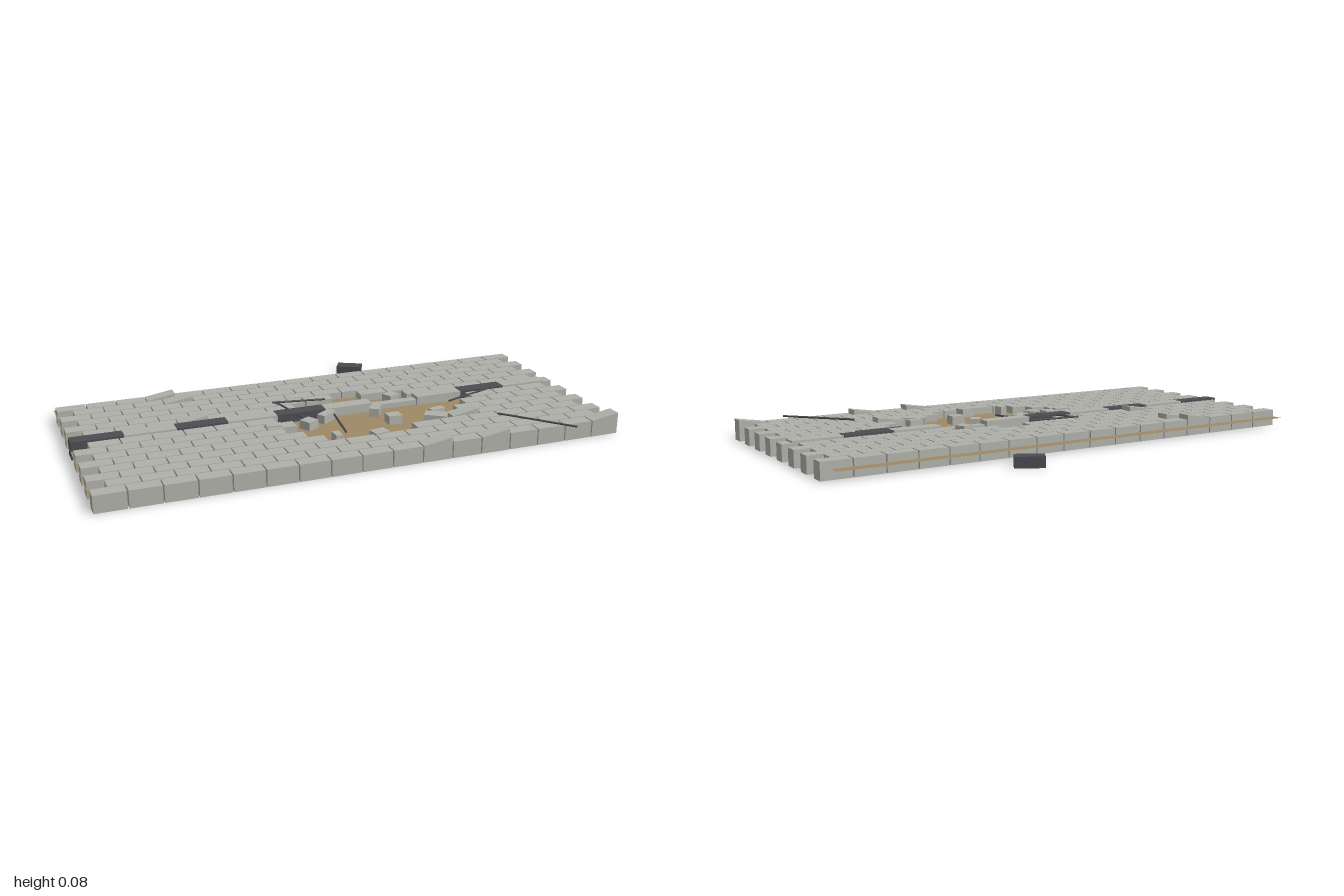
import * as THREE from 'three';

const stone = new THREE.MeshStandardMaterial({ color: 0xb0b0aa });
stone.name = 'pale stone';
const dark = new THREE.MeshStandardMaterial({ color: 0x4c4c51 });
dark.name = 'dark stone';
const dirt = new THREE.MeshStandardMaterial({ color: 0x9e8866, side: THREE.DoubleSide });
dirt.name = 'dirt';

const ROWS = 15, PITCH_X = 2 / 17, PITCH_Z = 0.0587, GAP = 0.005;
const BRICK_H = 0.064, DIRT_Y = 0.036;

// Missing bricks: row -> x range of the crater
const crater = {
  4: [0.05, 0.18], 5: [-0.12, 0.36], 6: [-0.18, 0.54], 7: [-0.24, 0.59],
  8: [-0.18, 0.54], 9: [-0.24, 0.48], 10: [-0.18, 0.42], 11: [-0.12, 0.24],
};

// Bricks heaved up at one end, as row:column
const heaved = new Set(['0:3', '1:3', '5:3', '10:12', '14:10', '14:12', '14:16']);

function box(name, material, w, h, d, x, y, z, turn = 0) {
  const mesh = new THREE.Mesh(new THREE.BoxGeometry(w, h, d), material);
  mesh.name = name;
  mesh.position.set(x, y, z);
  mesh.rotation.y = turn;
  return mesh;
}

// Running bond paving around the crater
function makePaving() {
  const paving = new THREE.Group();
  paving.name = 'paving';
  const length = PITCH_X - GAP, depth = PITCH_Z - GAP;
  for (let row = 0; row < ROWS; row++) {
    const odd = row % 2;
    const z = -0.327 + row * PITCH_Z;
    for (let col = 0; col < 17 - odd; col++) {
      const x = -1 + (col + 0.5 + odd / 2) * PITCH_X;
      const hole = crater[row];
      if (hole && x > hole[0] && x < hole[1]) continue;
      const brick = box('pavingBrick', stone, length, BRICK_H, depth, x, BRICK_H / 2, z);
      if (heaved.has(row + ':' + col)) {
        // raise the top right edge only
        const p = brick.geometry.attributes.position;
        for (let i = 0; i < p.count; i++) {
          if (p.getX(i) > 0 && p.getY(i) > 0) p.setY(i, p.getY(i) + 0.018);
        }
        brick.geometry.computeVertexNormals();
      }
      paving.add(brick);
    }
  }
  return paving;
}

// Centre line of alternating dark and pale blocks, with one knocked out
function makeCentreLine() {
  const line = new THREE.Group();
  line.name = 'centreLine';
  const step = 0.196;
  for (let i = 0; i < 10; i++) {
    if (i === 6) continue;
    const isDark = i % 2 === 0 && i < 9;
    line.add(box(isDark ? 'darkLineBlock' : 'paleLineBlock', isDark ? dark : stone,
      step - 0.002, 0.068, 0.056, -1 + (i + 0.5) * step, 0.037, 0.029));
  }
  // last block keeps the pale colour of the paving
  line.children.at(-2).material = dark;
  line.children.at(-1).material = stone;
  line.add(box('sunkenLineBlock', stone, step, 0.02, 0.036, 0.277, DIRT_Y + 0.01, 0.03));
  return line;
}

// Broken chunks lying in the crater: x, z, width, depth, turn
function makeRubble() {
  const rubble = new THREE.Group();
  rubble.name = 'rubble';
  const chunks = [
    [0.29, -0.02, 0.05, 0.045, 0.4], [-0.03, 0.09, 0.075, 0.035, 0.6],
    [0.17, 0.1, 0.04, 0.048, -0.6], [-0.12, 0.14, 0.05, 0.05, 0.5],
    [-0.26, 0.14, 0.06, 0.035, -0.1], [0.205, 0.197, 0.055, 0.045, 0],
    [0.39, 0.195, 0.062, 0.028, 0.2], [0.36, 0.25, 0.085, 0.052, -0.6],
    [-0.07, 0.307, 0.027, 0.048, 0], [0.085, 0.338, 0.06, 0.045, 0.2],
  ];
  for (const [x, z, w, d, turn] of chunks) {
    rubble.add(box('rubbleChunk', stone, w, 0.034, d, x, DIRT_Y + 0.017, z, turn));
  }
  return rubble;
}

// Thin bent reinforcing rods, each from one point to another
function makeRods() {
  const rods = new THREE.Group();
  rods.name = 'rods';
  const ends = [
    [-0.19, 0.07, -0.09, 0.02, 0.068, -0.06],
    [-0.175, 0.07, -0.09, -0.11, 0.06, 0.16],
    [0.005, 0.06, 0.06, -0.012, 0.045, 0.25],
    [0.485, 0.06, 0.115, 0.695, 0.07, 0.06],
    [0.585, 0.068, 0.33, 0.79, 0.068, 0.56],
  ];
  for (const e of ends) {
    const a = new THREE.Vector3(...e.slice(0, 3));
    const b = new THREE.Vector3(...e.slice(3));
    const dir = b.clone().sub(a);
    const rod = new THREE.Mesh(new THREE.CylinderGeometry(0.004, 0.004, dir.length(), 6), dark);
    rod.name = 'rod';
    rod.position.copy(a).add(b).multiplyScalar(0.5);
    rod.quaternion.setFromUnitVectors(new THREE.Vector3(0, 1, 0), dir.normalize());
    rods.add(rod);
  }
  return rods;
}

export function createModel() {
  const model = new THREE.Group();
  model.name = 'brokenRoad';

  // Dirt bed showing in the crater and along the edges
  const bed = new THREE.Mesh(new THREE.PlaneGeometry(1.96, 0.87), dirt);
  bed.name = 'dirtBed';
  bed.rotation.x = -Math.PI / 2;
  bed.position.set(-0.02, DIRT_Y, 0.035);
  model.add(bed, makePaving(), makeCentreLine(), makeRubble(), makeRods());

  // Line block thrown clear of the road
  model.add(box('thrownBlock', dark, 0.107, 0.04, 0.054, 0.313, 0.02, -0.518, -0.5));
  return model;
}
